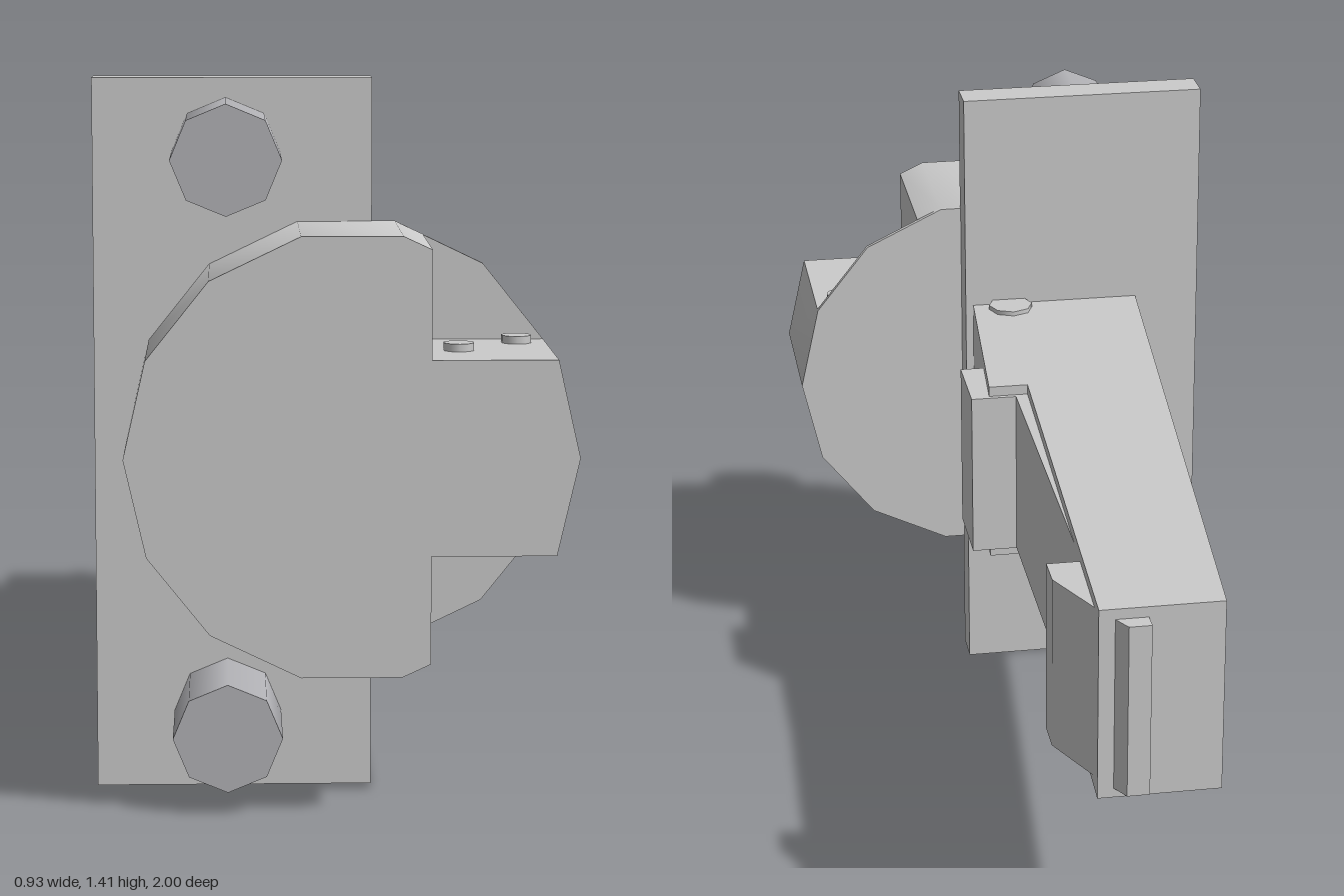
import * as THREE from 'three';
import { toCreasedNormals } from 'three/addons/utils/BufferGeometryUtils.js';

const grey = new THREE.MeshStandardMaterial({ color: 0xcccccc });
const steel = new THREE.MeshStandardMaterial({ color: 0xb4b4b8 });
const MID = 0.71; // height of the horizontal symmetry plane

export function createModel() {
  const model = new THREE.Group();

  const add = (name, geometry, material = grey) => {
    const mesh = new THREE.Mesh(geometry, material);
    mesh.name = name;
    model.add(mesh);
    return mesh;
  };
  const extrude = (points, depth) => new THREE.ExtrudeGeometry(
    new THREE.Shape(points.map(([x, y]) => new THREE.Vector2(x, y))),
    { depth, bevelEnabled: false });
  // Outline given as [x, z], extruded upwards between two heights
  const slab = (name, outline, y0, y1) => {
    const g = extrude(outline.map(([x, z]) => [x, -z]), y1 - y0);
    g.rotateX(-Math.PI / 2);
    g.translate(0, y0, 0);
    return add(name, g);
  };

  // Mounting plate
  add('mountingPlate', new THREE.BoxGeometry(0.545, 1.41, 0.08).translate(-0.1925, 0.705, 0.64));

  // Two eight-sided bolts in front of the plate
  for (const y of [0.152, 1.265]) {
    const bolt = add('bolt', new THREE.CylinderGeometry(0.106, 0.106, 0.245, 8), steel);
    bolt.rotation.x = Math.PI / 2;
    bolt.position.set(-0.205, y, 0.7925);
  }

  // Fourteen-sided head: thin full disc behind, notched body in front
  const corner = (i) => {
    const a = (i * Math.PI * 2) / 14;
    return [0.03 + 0.43 * Math.cos(a), MID + 0.43 * Math.sin(a)];
  };
  const ring = Array.from({ length: 14 }, (_, i) => corner(i));
  const headBack = toCreasedNormals(extrude(ring, 0.012), 0.6);
  add('headBackDisc', headBack.translate(0, 0, 0.67));

  const body = [
    ...ring.slice(0, 2), [0.18, ring[1][1]], [0.18, 1.104],
    ...ring.slice(3, 12), [0.18, 2 * MID - 1.104], [0.18, ring[13][1]], ring[13],
  ];
  add('headBody', toCreasedNormals(extrude(body, 0.32), 0.6).translate(0, 0, 0.68));

  // Tapered arm with a step on its left side
  slab('arm', [
    [-0.32, 0.61], [0.062, 0.61], [0.098, 0.12], [0.013, 0.12],
    [0.052, -0.965], [-0.195, -0.965],
  ], 0.505, 0.915);

  // Latch strip inside the arm, with two hooks and a rear nub
  slab('latch', [
    [-0.045, 0.28], [0.138, 0.28], [0.138, 0.11], [0.04, 0.11],
    [0.04, -0.71], [0.11, -0.71], [0.11, -0.78], [0.045, -0.92],
    [0.02, -0.965], [0, -1], [-0.045, -1],
  ], 0.525, 0.893);

  // Flat pin heads, mirrored above and below
  for (const s of [1, -1]) {
    for (const [x, z] of [[0.24, 0.85], [0.36, 0.735]]) {
      add('headPin', new THREE.CylinderGeometry(0.03, 0.03, 0.03, 10))
        .position.set(x, MID + s * 0.1865, z);
    }
    add('armPin', new THREE.CylinderGeometry(0.05, 0.05, 0.03, 8))
      .position.set(-0.02, MID + s * 0.2, 0.57);
  }

  // Round pads on the slanted right side of the arm
  const slant = Math.atan2(0.125, 1.575);
  for (const z of [0.17, -0.42]) {
    const pad = new THREE.CylinderGeometry(0.1, 0.1, 0.04, 8);
    pad.rotateZ(Math.PI / 2);
    pad.rotateY(-slant);
    add('sidePad', pad).position.set(-0.32 + (0.61 - z) * 0.0794, MID, z);
  }

  return model;
}
